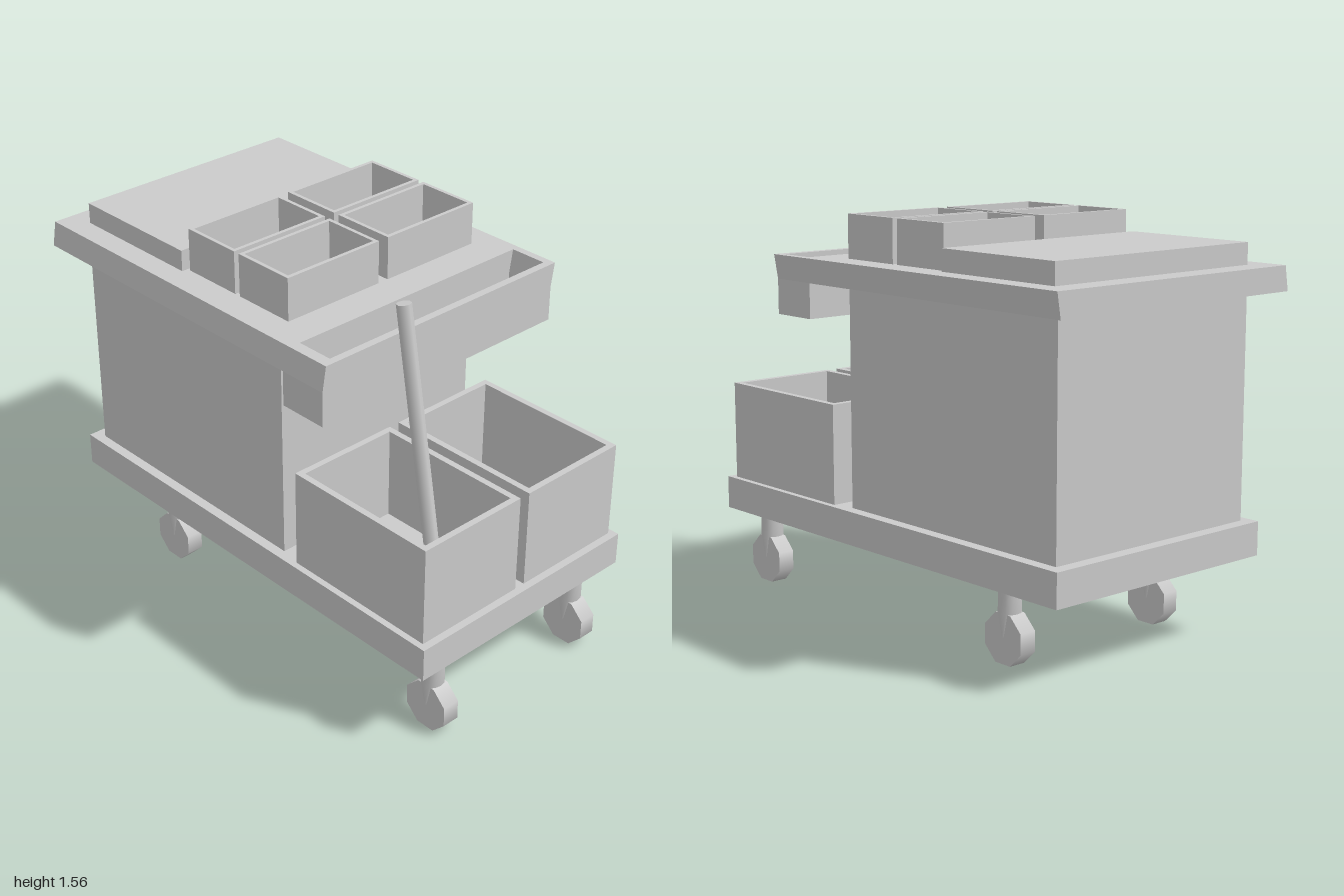
import * as THREE from 'three';

const material = new THREE.MeshStandardMaterial({ color: 0xcccccc });

function add(parent, name, geometry) {
  const mesh = new THREE.Mesh(geometry, material);
  mesh.name = name;
  parent.add(mesh);
  return mesh;
}

// Box given by its limits along each axis
function block(parent, name, [x0, x1], [y0, y1], [z0, z1]) {
  const mesh = add(parent, name, new THREE.BoxGeometry(x1 - x0, y1 - y0, z1 - z0));
  mesh.position.set((x0 + x1) / 2, (y0 + y1) / 2, (z0 + z1) / 2);
  return mesh;
}

// Rectangular plate with a rectangular opening, standing from y0 to y1
function frame([x0, x1], [y0, y1], [z0, z1], [hx0, hx1], [hz0, hz1]) {
  const corners = (a, b, c, d) => [[a, -d], [b, -d], [b, -c], [a, -c]].map(p => new THREE.Vector2(...p));
  const shape = new THREE.Shape(corners(x0, x1, z0, z1));
  shape.holes.push(new THREE.Path(corners(hx0, hx1, hz0, hz1)));
  return new THREE.ExtrudeGeometry(shape, { depth: y1 - y0, bevelEnabled: false })
    .rotateX(-Math.PI / 2).translate(0, y0, 0);
}

// Open-topped bin: four walls and a floor
function bin(parent, name, x, y, z, wall) {
  const group = new THREE.Group();
  group.name = name;
  const hx = [x[0] + wall, x[1] - wall], hz = [z[0] + wall, z[1] - wall];
  add(group, 'binWalls', frame(x, y, z, hx, hz));
  block(group, 'binFloor', hx, [y[0], y[0] + wall], hz);
  parent.add(group);
}

// Caster: stem that narrows into a fork, and an eight-sided wheel
function caster(parent, x, z) {
  const group = new THREE.Group();
  group.name = 'caster';
  const rows = [[0.315, 0.04, 0.047], [0.19, 0.04, 0.047], [0.1, 0.012, 0.039]];
  const stem = new THREE.CylinderGeometry(1, 1, 2, 12, 2);
  const p = stem.attributes.position;
  for (let i = 0; i < p.count; i++) {
    const [y, rx, rz] = rows[1 - Math.round(p.getY(i))];
    p.setXYZ(i, p.getX(i) * rx, y, p.getZ(i) * rz);
  }
  stem.computeVertexNormals();
  add(group, 'casterStem', stem);
  const wheel = new THREE.CylinderGeometry(0.101, 0.101, 0.07, 8)
    .rotateY(Math.PI / 8).rotateX(Math.PI / 2).translate(0, 0.0935, 0);
  add(group, 'casterWheel', wheel);
  group.position.set(x, 0, z);
  parent.add(group);
}

export function createModel() {
  const cart = new THREE.Group();
  cart.name = 'serviceCart';

  // Body
  block(cart, 'base', [-0.94, 0.99], [0.315, 0.445], [-0.51, 0.525]);
  block(cart, 'cabinet', [-0.89, 0.22], [0.445, 1.3], [-0.465, 0.485]);

  // Worktop with slanted long sides, open above the trough
  const top = frame([-1, 0.54], [1.3, 1.395], [-0.56, 0.58], [0.36, 0.51], [-0.53, 0.535]);
  const p = top.attributes.position;
  for (let i = 0; i < p.count; i++) {
    if (p.getY(i) > 1.35) p.setZ(i, p.getZ(i) - 0.016);
  }
  top.computeVertexNormals();
  add(cart, 'worktop', top);

  // Trough hanging below the end of the worktop
  add(cart, 'troughWalls', frame([0.34, 0.54], [1.165, 1.3], [-0.56, 0.58], [0.36, 0.51], [-0.53, 0.535]));
  block(cart, 'troughFloor', [0.36, 0.51], [1.165, 1.185], [-0.53, 0.535]);

  // Lid and four small bins on the worktop
  block(cart, 'lid', [-0.9, -0.335], [1.395, 1.477], [-0.49, 0.472]);
  for (const x of [[-0.32, -0.065], [-0.04, 0.22]]) {
    for (const z of [[-0.468, -0.03], [0.015, 0.447]]) bin(cart, 'smallBin', x, [1.395, 1.562], z, 0.015);
  }

  // Two large bins on the base
  for (const z of [[-0.487, -0.015], [0.03, 0.5]]) bin(cart, 'largeBin', [0.305, 0.96], [0.445, 0.835], z, 0.025);

  // Leaning handle
  const from = new THREE.Vector3(0.738, 0.475, 0.217), to = new THREE.Vector3(0.552, 1.512, 0.217);
  const axis = to.clone().sub(from);
  const handle = add(cart, 'handle', new THREE.CylinderGeometry(0.028, 0.028, axis.length(), 8));
  handle.position.copy(from).add(to).multiplyScalar(0.5);
  handle.quaternion.setFromUnitVectors(new THREE.Vector3(0, 1, 0), axis.normalize());

  // Casters
  for (const x of [-0.545, 0.905]) for (const z of [-0.356, 0.386]) caster(cart, x, z);

  return cart;
}
